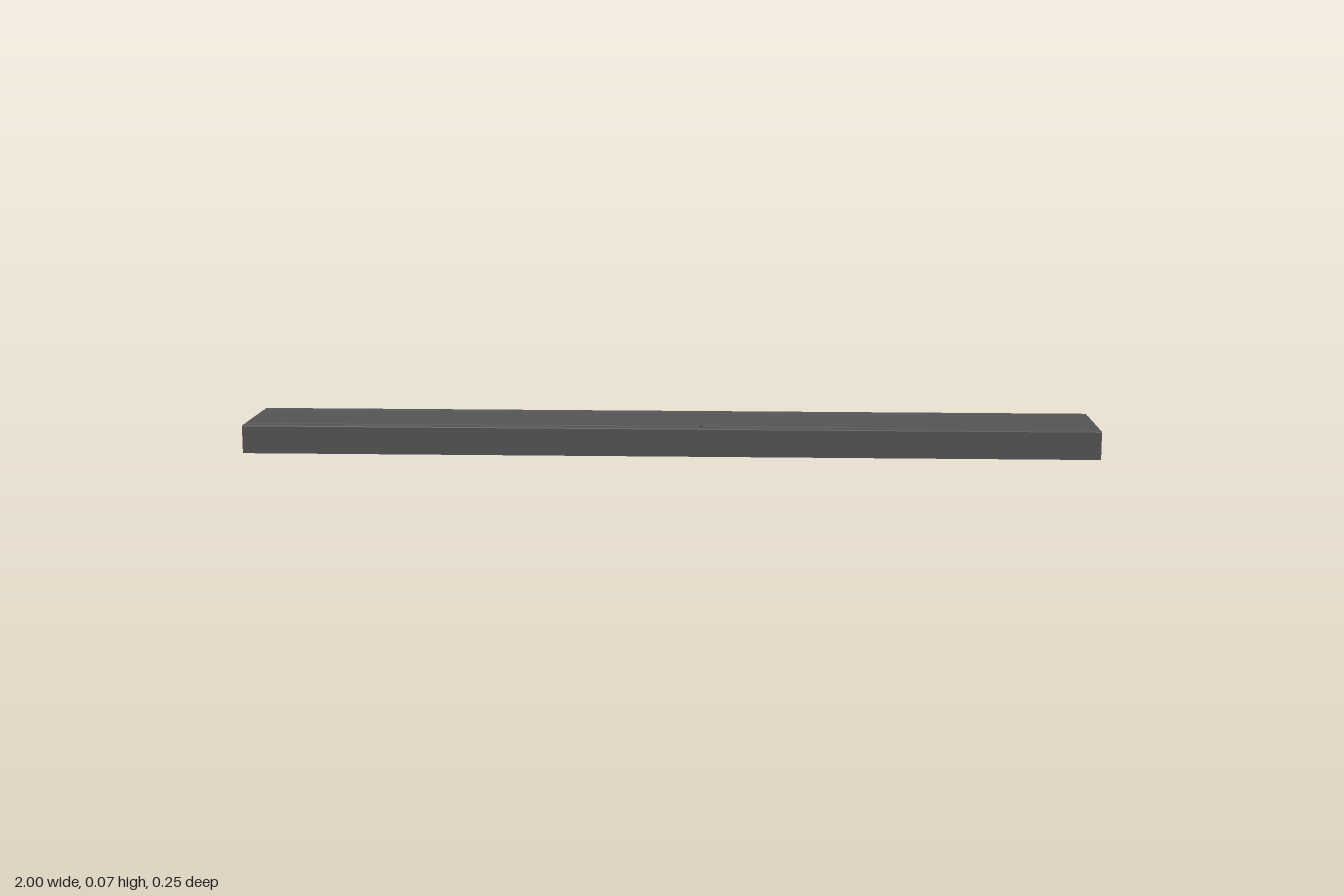
import * as THREE from 'three';

const HEIGHT = 0.066, FLOOR = 0.06, HALF = 0.125, BEVEL = 0.002;

// Extra groove width: a flat-topped bump between two x positions
const bump = (x, from, to, size) =>
  size * THREE.MathUtils.clamp(Math.min(x - from, to - x) / 0.01, 0, 1);

// Cross-section at x as [z, y], from the front foot over the top to the back foot
function section(x) {
  const front = 0.091 - bump(x, 0.07, 0.5, 0.01);
  const back = -0.094 + bump(x, -0.07, 0.61, 0.004);
  return [
    [HALF, 0], [HALF, HEIGHT - BEVEL], [HALF - BEVEL, HEIGHT],
    [0.098, HEIGHT], [0.096, FLOOR], [front + 0.002, FLOOR], [front, HEIGHT],
    [back, HEIGHT], [back - 0.002, FLOOR], [-0.098, FLOOR], [-0.1, HEIGHT],
    [-HALF + BEVEL, HEIGHT], [-HALF, HEIGHT - BEVEL], [-HALF, 0],
  ];
}

// Top, grooves and long walls swept along x
function sweptShell() {
  const stations = [-1, -0.07, -0.06, 0.07, 0.08, 0.49, 0.5, 0.6, 0.61, 1];
  const positions = [];
  for (let s = 0; s < stations.length - 1; s++) {
    const [x0, x1] = [stations[s], stations[s + 1]];
    const p = section(x0), q = section(x1);
    for (let i = 0; i < p.length - 1; i++) {
      const a = [x0, p[i][1], p[i][0]], b = [x0, p[i + 1][1], p[i + 1][0]];
      const d = [x1, q[i][1], q[i][0]], c = [x1, q[i + 1][1], q[i + 1][0]];
      positions.push(...a, ...d, ...c, ...a, ...c, ...b);
    }
  }
  const geometry = new THREE.BufferGeometry();
  geometry.setAttribute('position', new THREE.Float32BufferAttribute(positions, 3));
  geometry.computeVertexNormals();
  return geometry;
}

// Flat wall closing one end, with the groove notches in its outline
function endWall(side) {
  const outline = section(side).map(([z, y]) => new THREE.Vector2(-side * z, y));
  const geometry = new THREE.ShapeGeometry(new THREE.Shape(outline));
  return geometry.rotateY(side * Math.PI / 2).translate(side, 0, 0);
}

export function createModel() {
  const group = new THREE.Group();
  group.name = 'groovedSlab';
  const material = new THREE.MeshStandardMaterial({
    color: 0x555555, flatShading: true, side: THREE.DoubleSide,
  });
  const add = (name, geometry) => {
    const mesh = new THREE.Mesh(geometry, material);
    mesh.name = name;
    group.add(mesh);
  };

  // The underside stays open
  add('slabShell', sweptShell());
  add('leftEndWall', endWall(1));
  add('rightEndWall', endWall(-1));
  return group;
}
